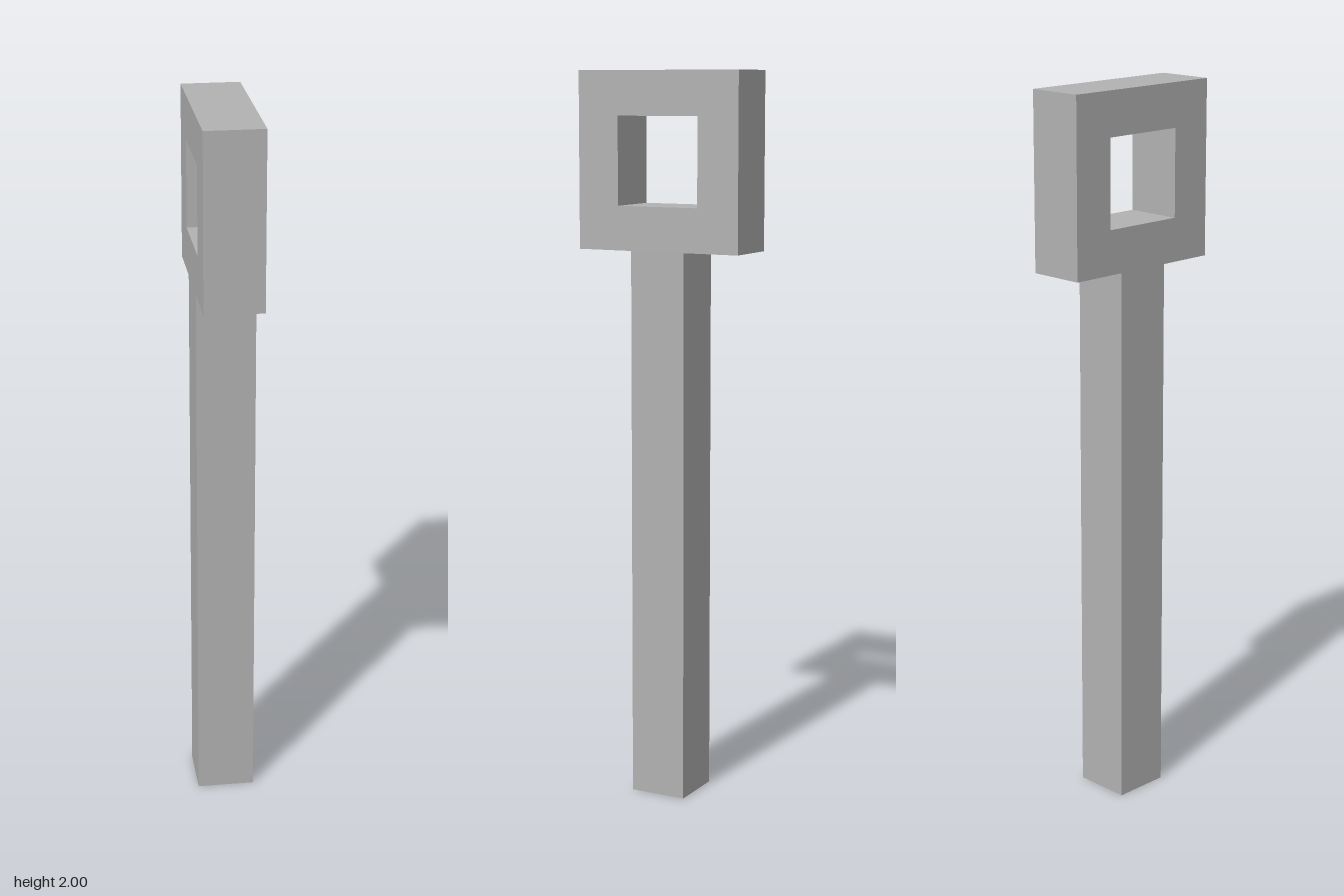
import * as THREE from 'three';

const WIDTH = 0.16; // thickness along x, shared by shaft and head

export function createModel() {
  const group = new THREE.Group();
  group.name = 'eyePost';
  const grey = new THREE.MeshStandardMaterial({ color: 0xb2b2b2 });
  grey.name = 'grey';

  // Outline in the side plane: square shaft widening into a square head
  const outline = new THREE.Shape([
    [-0.08, 0], [0.08, 0], [0.08, 1.52], [0.24, 1.52],
    [0.24, 2], [-0.24, 2], [-0.24, 1.52], [-0.08, 1.52],
  ].map(([z, y]) => new THREE.Vector2(z, y)));

  // Square eye through the head
  outline.holes.push(new THREE.Path([
    [-0.12, 1.64], [-0.12, 1.88], [0.12, 1.88], [0.12, 1.64],
  ].map(([z, y]) => new THREE.Vector2(z, y))));

  const geometry = new THREE.ExtrudeGeometry(outline, { depth: WIDTH, bevelEnabled: false });
  geometry.translate(0, 0, -WIDTH / 2);
  geometry.rotateY(-Math.PI / 2);

  const post = new THREE.Mesh(geometry, grey);
  post.name = 'shaftAndHead';
  group.add(post);
  return group;
}
